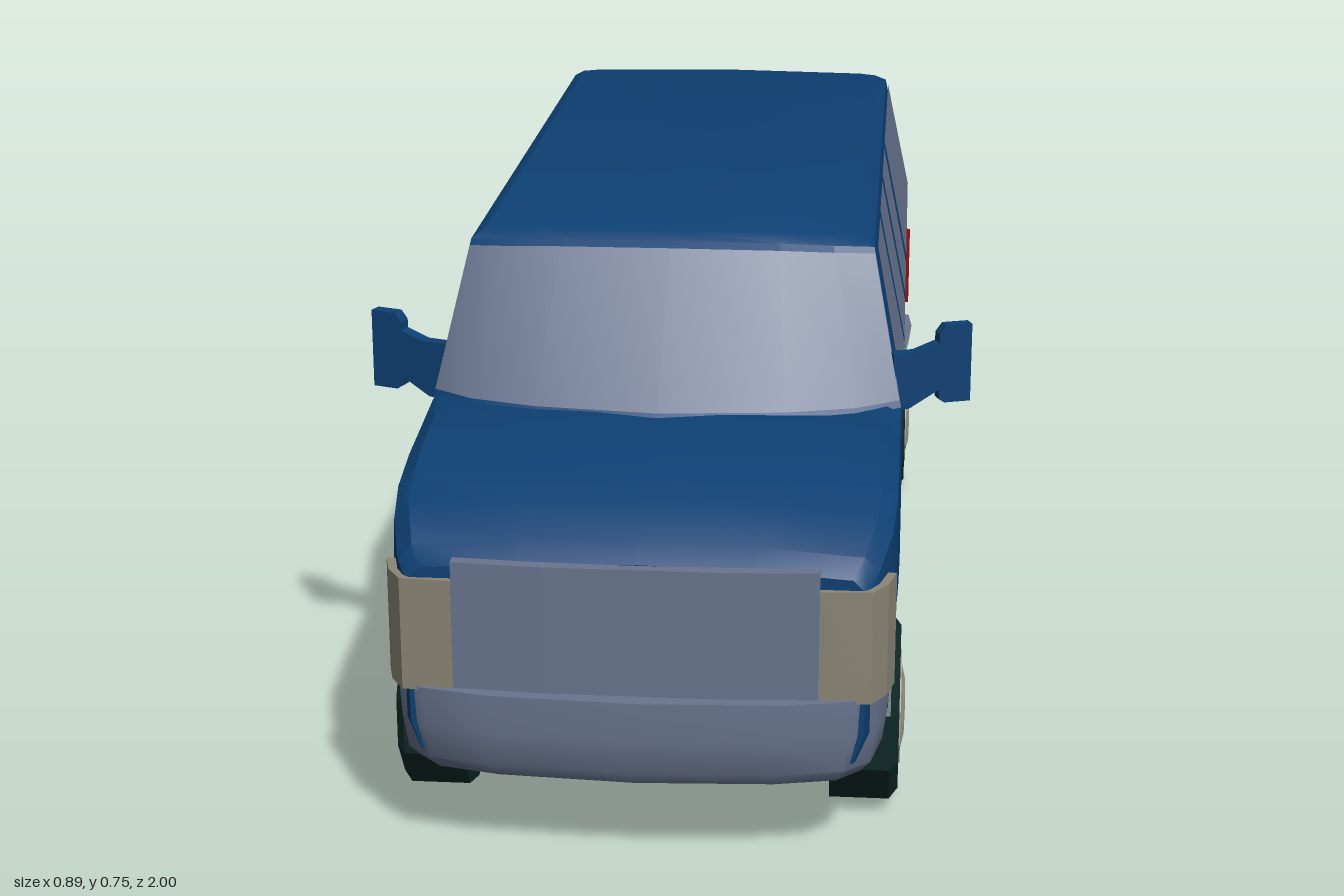
import * as THREE from 'three';
import { toCreasedNormals } from 'three/addons/utils/BufferGeometryUtils.js';

const paint = (name, color) => {
  const m = new THREE.MeshStandardMaterial({ color });
  m.name = name;
  return m;
};

// Completes a half outline (x >= 0, both ends on the centre line) into a ring
const mirrored = (half) => [
  ...half,
  ...half.slice(1, -1).reverse().map(([x, y, z]) => [-x, y, z]),
];
const lerp = (a, b, t) => a.map((v, i) => v + (b[i] - v) * t);

// Skins closed rings and caps both ends
function loft(rings, crease = 0.6) {
  const n = rings[0].length, last = rings.length - 1;
  const pos = rings.flat(2), index = [];
  for (let i = 0; i < last; i++) {
    for (let j = 0; j < n; j++) {
      const a = i * n + j, b = i * n + (j + 1) % n;
      index.push(a, b, a + n, b, b + n, a + n);
    }
  }
  for (const i of [0, last]) {
    const mid = [0, 1, 2].map((k) => rings[i].reduce((s, p) => s + p[k], 0) / n);
    const c = pos.length / 3;
    pos.push(...mid);
    for (let j = 0; j < n; j++) {
      const a = i * n + j, b = i * n + (j + 1) % n;
      if (i) index.push(c, a, b);
      else index.push(c, b, a);
    }
  }
  const g = new THREE.BufferGeometry();
  g.setAttribute('position', new THREE.Float32BufferAttribute(pos, 3));
  g.setIndex(index);
  return toCreasedNormals(g, crease);
}

// Thin sheet between a lower and an upper edge, each listed left to right as seen from outside
function sheet(lower, upper) {
  const n = lower.length, index = [];
  for (let j = 0; j < n - 1; j++) index.push(j, j + 1, j + n, j + 1, j + n + 1, j + n);
  const g = new THREE.BufferGeometry();
  g.setAttribute('position', new THREE.Float32BufferAttribute([...lower, ...upper].flat(), 3));
  g.setIndex(index);
  return toCreasedNormals(g, 0.6);
}

// Extrudes a plan outline of [x, z] points from y0 to y1
function block(plan, y0, y1) {
  const shape = new THREE.Shape(plan.map(([x, z]) => new THREE.Vector2(x, -z)));
  return new THREE.ExtrudeGeometry(shape, { depth: y1 - y0, bevelEnabled: false })
    .rotateX(-Math.PI / 2).translate(0, y0, 0);
}

export function createModel() {
  const van = new THREE.Group();
  van.name = 'van';
  const blue = paint('blue paint', 0x0d4073);
  const grey = paint('grey glass and trim', 0x69758f);
  const tyreMat = paint('dark tyre', 0x0e2826);
  const hubMat = paint('pale hub', 0xa8a498);
  const lampMat = paint('headlight', 0x8a8576);
  const red = paint('tail light red', 0x8a0d0d);
  const add = (name, geometry, material) => {
    const mesh = new THREE.Mesh(geometry, material);
    mesh.name = name;
    van.add(mesh);
    return mesh;
  };

  // Lower body, rear to front: z, underside, half width, shoulder height, centre height
  const stations = [
    [-0.955, 0.14, 0.31, 0.515, 0.52], [-0.93, 0.14, 0.348, 0.515, 0.52],
    [-0.75, 0.14, 0.348, 0.515, 0.52], [-0.68, 0.25, 0.348, 0.515, 0.52],
    [-0.58, 0.287, 0.348, 0.515, 0.52], [-0.475, 0.26, 0.348, 0.515, 0.52],
    [-0.417, 0.14, 0.348, 0.515, 0.52], [0.49, 0.14, 0.348, 0.515, 0.525],
    [0.545, 0.14, 0.348, 0.51, 0.53], [0.62, 0.28, 0.348, 0.503, 0.537],
    [0.71, 0.295, 0.348, 0.495, 0.526], [0.8, 0.27, 0.347, 0.48, 0.508],
    [0.86, 0.16, 0.342, 0.455, 0.492], [0.93, 0.16, 0.325, 0.425, 0.46],
    [0.958, 0.16, 0.31, 0.405, 0.437],
  ];
  add('lowerBody', loft(stations.map(([z, b, w, s, h]) => mirrored([
    [0, b, z], [0.94 * w, b, z], [0.985 * w, b + 0.04, z], [w, 0.36, z],
    [0.99 * w, s, z], [0.93 * w, s + 0.6 * (h - s), z], [0.5 * w, h - 0.004, z], [0, h, z],
  ]))), blue);

  // Cabin: belt, roof edge and inset roof rings
  const belt = [[0, 0.53, 0.645], [0.18, 0.525, 0.61], [0.28, 0.52, 0.565], [0.345, 0.515, 0.505],
    [0.345, 0.515, -0.93], [0.31, 0.515, -0.95], [0, 0.515, -0.955]];
  const edge = [[0, 0.738, 0.425], [0.16, 0.736, 0.42], [0.24, 0.733, 0.415], [0.3, 0.73, 0.405],
    [0.3, 0.73, -0.85], [0.27, 0.732, -0.875], [0, 0.735, -0.88]];
  const roof = [[0, 0.747, 0.4], [0.15, 0.747, 0.395], [0.22, 0.746, 0.39], [0.28, 0.744, 0.38],
    [0.28, 0.744, -0.82], [0.25, 0.744, -0.835], [0, 0.747, -0.84]];
  add('cabin', loft([belt, edge, roof].map(mirrored)), blue);

  // Windscreen follows the curved front of the cabin
  const screenEdge = (t) => {
    const half = [0, 1, 2, 3].map((i) => lerp(belt[i], edge[i], t));
    half[3] = lerp(half[2], half[3], 0.95);
    const row = half.map(([x, y, z]) => [x * 1.006, y + 0.003, z + 0.004]);
    return [...row.slice(1).reverse().map(([x, y, z]) => [-x, y, z]), ...row];
  };
  add('windscreen', sheet(screenEdge(0.04), screenEdge(0.95)), grey);

  // Side windows: front and rear z at the bottom, then at the top
  const sideWindows = [[0.47, 0.2, 0.385, 0.205], [0.17, -0.035, 0.165, -0.035],
    [-0.08, -0.275, -0.08, -0.275], [-0.33, -0.865, -0.33, -0.825]];
  const sideX = (y) => 0.349 - (y - 0.515) * 0.209;
  const rearZ = (y) => -0.96 + (y - 0.515) * 0.341;

  for (const s of [1, -1]) {
    const side = s > 0 ? 'left' : 'right';
    const order = (row) => (s > 0 ? row : row.reverse());

    for (const [f0, r0, f1, r1] of sideWindows) {
      const row = (y, f, r) => order([[s * sideX(y), y, f], [s * sideX(y), y, r]]);
      add(side + 'SideWindow', sheet(row(0.523, f0, r0), row(0.725, f1, r1)), grey);
    }
    const rearRow = (y, x) => order([[s * x, y, rearZ(y)], [s * 0.03, y, rearZ(y)]]);
    add(side + 'RearWindow', sheet(rearRow(0.53, 0.295), rearRow(0.715, 0.262)), grey);

    // Wrap-around lamps
    add(side + 'Headlight', block([[0.245, 0.94], [0.245, 0.968], [0.315, 0.962], [0.335, 0.93],
      [0.345, 0.89], [0.3, 0.89]].map(([x, z]) => [s * x, z]), 0.25, 0.41), lampMat);
    add(side + 'TailLight', block([[0.32, -0.89], [0.354, -0.89], [0.354, -0.945], [0.335, -0.962],
      [0.29, -0.965], [0.29, -0.94]].map(([x, z]) => [s * x, z]), 0.275, 0.41), red);

    // Door mirror: tapered arm and upright head, swept back
    const outline = [[-0.02, 0.505], [0.005, 0.505], [0.05, 0.53], [0.052, 0.515], [0.06, 0.51],
      [0.1, 0.51], [0.1, 0.628], [0.06, 0.628], [0.05, 0.615], [0.05, 0.602], [0.015, 0.59], [-0.02, 0.59]];
    const shape = new THREE.Shape(outline.map(([x, y]) => new THREE.Vector2(s * x, y)));
    const mirror = add(side + 'Mirror', new THREE.ExtrudeGeometry(shape, { depth: 0.02, bevelEnabled: false }), blue);
    mirror.position.set(s * 0.345, 0, 0.462);
    mirror.rotation.y = s * 0.34;
    const glass = new THREE.Mesh(new THREE.BoxGeometry(0.034, 0.1, 0.004), grey);
    glass.name = side + 'MirrorGlass';
    glass.position.set(s * 0.079, 0.569, -0.001);
    mirror.add(glass);

    // Ten-sided wheels
    for (const [end, z] of [['Front', 0.71], ['Rear', -0.58]]) {
      const turned = (profile) => new THREE.LatheGeometry(
        profile.map(([r, y]) => new THREE.Vector2(r, y)), 10, Math.PI / 2)
        .rotateZ(-s * Math.PI / 2).translate(s * 0.305, 0.134, z);
      const tyre = turned([[0, -0.048], [0.134, -0.048], [0.134, 0.036], [0.118, 0.048],
        [0.085, 0.048], [0.08, 0.04]]).toNonIndexed();
      tyre.computeVertexNormals();
      add(side + end + 'Tyre', tyre, tyreMat);
      add(side + end + 'Hub', toCreasedNormals(
        turned([[0.086, 0.042], [0.082, 0.05], [0.062, 0.05], [0.04, 0.055], [0, 0.056]]), 0.5), hubMat);
    }
  }

  // Grille
  add('grille', block([[-0.245, 0.93], [0.245, 0.93], [0.245, 0.966], [0.12, 0.974],
    [-0.12, 0.974], [-0.245, 0.966]], 0.24, 0.436), grey);

  // Bumpers: one plan outline, drawn in towards the bottom; levels are y, width scale, z inset
  const bumper = (plan, levels, dir) => loft(levels.map(([y, k, inset]) =>
    mirrored(plan.map(([x, z]) => [x * k, y, z - dir * inset]))), 0.7);
  add('frontBumper', bumper([[0, 0.998], [0.2, 0.987], [0.29, 0.968], [0.325, 0.935], [0.34, 0.86], [0, 0.86]],
    [[0.13, 0.93, 0.02], [0.15, 0.97, 0.006], [0.2, 0.99, 0], [0.255, 1, 0]], 1), grey);
  add('rearBumper', bumper([[0, -0.895], [0.362, -0.895], [0.356, -0.97], [0.31, -1], [0, -1]],
    [[0.138, 0.94, 0.02], [0.19, 0.985, 0.006], [0.225, 1, 0]], -1), grey);

  return van;
}
